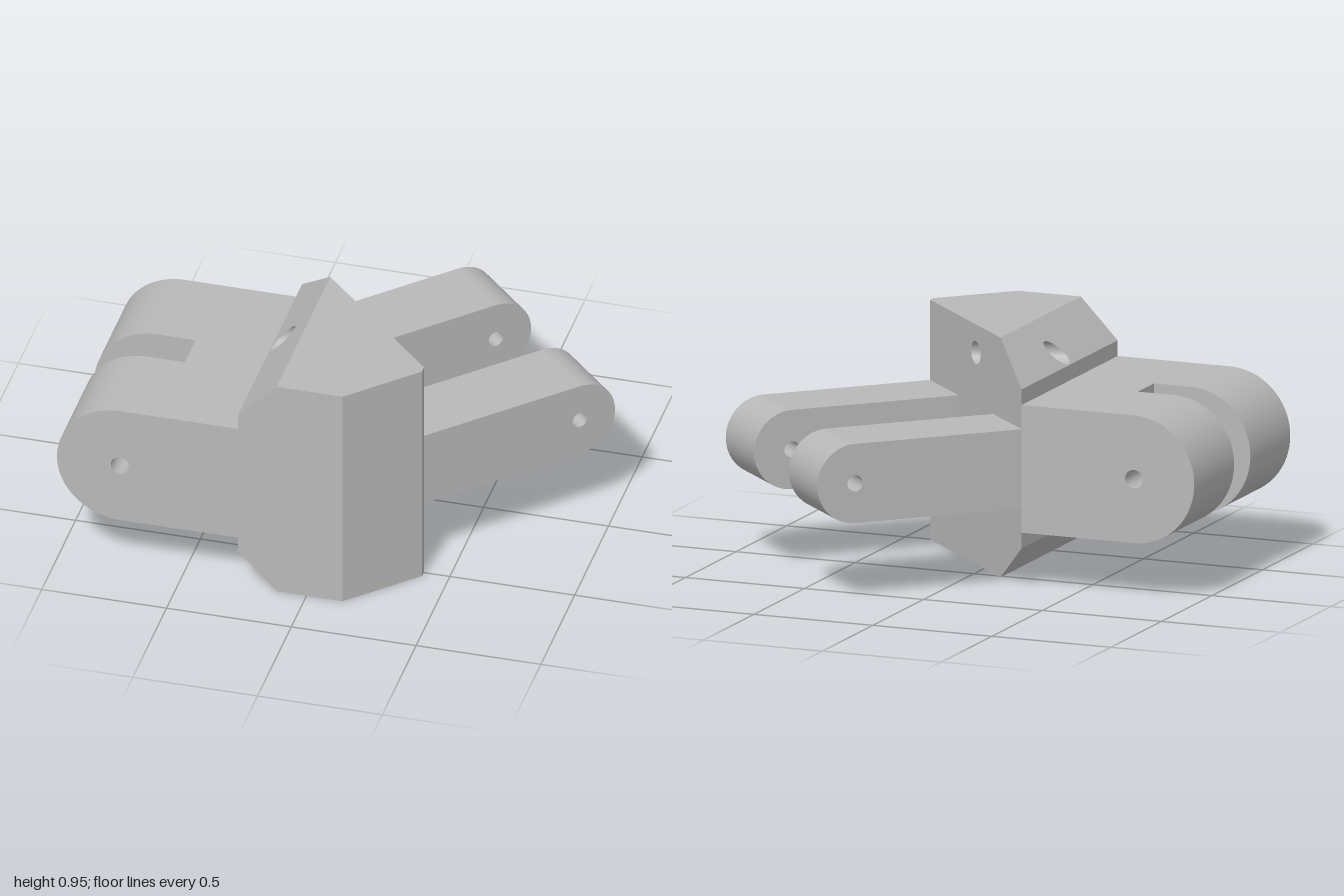
import * as THREE from 'three';
import { toCreasedNormals } from 'three/addons/utils/BufferGeometryUtils.js';

const H = 0.95, MID = H / 2;              // block height and centre line
const XL = -0.275, XC = -0.12;            // left wall, top of the chamfer
const XB = 0.145, XR = 0.395;             // front bevel start, right wall
const ZB = -0.175, ZF = 0.775, D = 0.1;   // back, front, offset of the diagonal z = x + D
const YC = 0.79;                          // where the chamfer starts

const polygon = (pts) => new THREE.Shape(pts.map((p) => new THREE.Vector2(...p)));

// Straight bar in x/y with one round end and a pin hole there
function roundBar(xFlat, xCentre, radius, pin) {
  const right = xCentre > xFlat;
  const s = new THREE.Shape();
  s.moveTo(xFlat, MID - radius);
  s.lineTo(xCentre, MID - radius);
  s.absarc(xCentre, MID, radius, -Math.PI / 2, right ? Math.PI / 2 : -Math.PI * 1.5, !right);
  s.lineTo(xFlat, MID + radius);
  s.closePath();
  const hole = new THREE.Path();
  hole.absarc(xCentre, MID, pin, 0, Math.PI * 2, right);
  s.holes.push(hole);
  return s;
}

export function createModel() {
  const group = new THREE.Group();
  const grey = new THREE.MeshStandardMaterial({ color: 0xb8b8b8, side: THREE.DoubleSide });

  function add(name, geometry, parent = group) {
    const mesh = new THREE.Mesh(geometry, grey);
    mesh.name = name;
    parent.add(mesh);
    return mesh;
  }

  // Flat wall: a 2D shape laid onto a plane by a mapping rule
  function wall(name, shape, map) {
    const g = new THREE.ShapeGeometry(shape, 24);
    const p = g.attributes.position;
    for (let i = 0; i < p.count; i++) p.setXYZ(i, ...map(p.getX(i), p.getY(i)));
    g.computeVertexNormals();
    return add(name, g);
  }

  function extrude(name, shape, depth, parent) {
    const g = new THREE.ExtrudeGeometry(shape, { depth, bevelEnabled: false, curveSegments: 32 });
    return add(name, toCreasedNormals(g, 0.5), parent);
  }

  // Bores run from the diagonal wall into the block
  const chamferX = (y) => XL + (y - YC) * (XC - XL) / (H - YC);
  const toDiagonal = (p, d) => (p.x + D - p.z) / (d.z - d.x);
  const toChamfer = (p, d) => (chamferX(p.y) - p.x) / d.x;

  function boreRing(b, distance) {
    const side = new THREE.Vector3(-b.dir.z, 0, b.dir.x);
    const ring = [];
    for (let i = 0; i < 32; i++) {
      const a = i / 32 * Math.PI * 2;
      const p = new THREE.Vector3(0.06, b.y, 0.06 + D).addScaledVector(side, b.r * Math.cos(a));
      p.y += b.r * Math.sin(a);
      ring.push(p.addScaledVector(b.dir, distance(p, b.dir)));
    }
    return ring;
  }

  function boreWall(name, start, end) {
    const n = start.length, index = [];
    for (let i = 0; i < n; i++) {
      const j = (i + 1) % n;
      index.push(i, j, n + i, j, n + j, n + i);
    }
    const g = new THREE.BufferGeometry().setFromPoints([...start, ...end]);
    g.setIndex(index);
    g.computeVertexNormals();
    add(name, g);
  }

  const angle = Math.PI / 8;
  const cordBore = { y: 0.838, r: 0.045, dir: new THREE.Vector3(-Math.cos(angle), 0, Math.sin(angle)) };
  const mainBore = { y: MID, r: 0.08, dir: new THREE.Vector3(-Math.SQRT1_2, 0, Math.SQRT1_2) };
  const cordIn = boreRing(cordBore, toDiagonal), cordOut = boreRing(cordBore, toChamfer);
  const mainIn = boreRing(mainBore, toDiagonal), mainEnd = boreRing(mainBore, () => 0.4);
  boreWall('cordBore', cordIn, cordOut);
  boreWall('mainBore', mainIn, mainEnd);
  const cap = add('mainBoreEnd', new THREE.CircleGeometry(mainBore.r, 32));
  cap.position.set(0.06, MID, 0.06 + D).addScaledVector(mainBore.dir, 0.4);
  cap.rotation.y = Math.PI * 3 / 4;

  // Block walls
  const outline = (right) => polygon([[XC, 0], [right, 0], [right, H], [XC, H], [XL, YC], [XL, H - YC]]);
  const path = (ring, pick) => new THREE.Path(ring.map(pick));
  const xy = (p) => new THREE.Vector2(p.x, p.y);
  const zy = (p) => new THREE.Vector2(p.z, p.y);

  wall('blockFront', outline(XB), (x, y) => [x, y, ZF]);
  const diagonal = outline(XR);
  diagonal.holes.push(path(cordIn, xy), path(mainIn, xy));
  wall('blockDiagonal', diagonal, (x, y) => [x, y, x + D]);
  const bevelEnd = ZF - (XR - XB);
  const rect = (a, b, c, d) => polygon([[a, c], [b, c], [b, d], [a, d]]);
  wall('blockFrontBevel', rect(XB, XR, 0, H), (x, y) => [x, y, ZF + XB - x]);
  wall('blockRightEdge', rect(XR + D, bevelEnd, 0, H), (z, y) => [XR, y, z]);
  wall('blockLeftWall', rect(ZB, ZF, H - YC, YC), (z, y) => [XL, y, z]);

  for (const top of [true, false]) {
    const label = top ? 'Top' : 'Bottom';
    const level = (y) => (top ? y : H - y);
    wall('block' + label,
      polygon([[XC, XC + D], [XR, XR + D], [XR, bevelEnd], [XB, ZF], [XC, ZF]]),
      (x, z) => [x, level(H), z]);
    const chamfer = polygon([[ZB, YC], [ZF, YC], [ZF, H], [XC + D, H]]);
    if (top) chamfer.holes.push(path(cordOut, zy));
    wall('chamfer' + label, chamfer, (z, y) => [chamferX(y), level(y), z]);
  }

  // Fork: two round prongs joined by a root behind the slot
  const fork = new THREE.Group();
  fork.name = 'fork';
  group.add(fork);
  const slotX = -0.595, slotBack = 0.22, slotFront = 0.38, forkR = 0.253;
  const prong = roundBar(XL, -1 + forkR, forkR, 0.037);
  extrude('backProng', prong, slotBack - ZB, fork).position.z = ZB;
  extrude('frontProng', prong, ZF - slotFront, fork).position.z = slotFront;
  const root = add('forkRoot', new THREE.BoxGeometry(XL - slotX, forkR * 2, slotFront - slotBack), fork);
  root.position.set((XL + slotX) / 2, MID, (slotFront + slotBack) / 2);

  // Two parallel arms standing square on the diagonal wall
  const armLength = 0.852, armWidth = 0.295, armR = 0.157;
  const arm = roundBar(0, armLength - armR, armR, 0.032);
  const startX = [XL, XR - armWidth * Math.SQRT1_2];
  startX.forEach((x, i) => {
    const mesh = extrude(i ? 'frontArm' : 'backArm', arm, armWidth);
    mesh.position.set(x, 0, x + D);
    mesh.rotation.y = Math.PI / 4;
  });

  return group;
}
